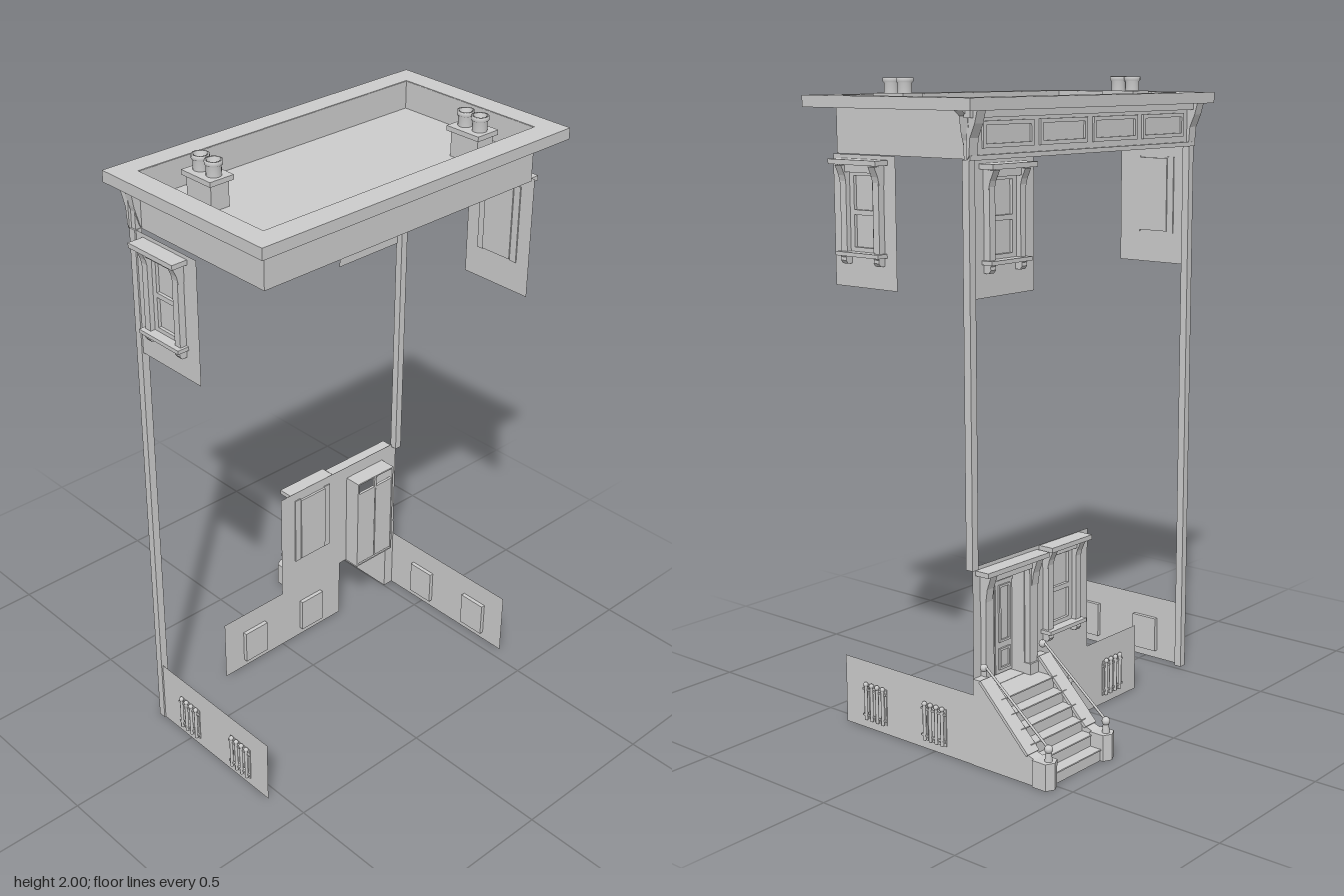
import * as THREE from 'three';

const stone = new THREE.MeshStandardMaterial({ color: 0xcccccc, side: THREE.DoubleSide });
stone.name = 'stone grey';

const WX = 0.54, BZ = -0.158; // side wall and street wall planes

function add(parent, geo, name) {
  const m = new THREE.Mesh(geo, stone);
  m.name = name;
  parent.add(m);
  return m;
}
// box given by its min and max corners
function box(parent, name, x0, x1, y0, y1, z0, z1) {
  const m = add(parent, new THREE.BoxGeometry(x1 - x0, y1 - y0, z1 - z0), name);
  m.position.set((x0 + x1) / 2, (y0 + y1) / 2, (z0 + z1) / 2);
  return m;
}
function rectPath(path, x0, x1, y0, y1) {
  return path.moveTo(x0, y0).lineTo(x1, y0).lineTo(x1, y1).lineTo(x0, y1).closePath();
}
function rectShape(x0, x1, y0, y1, holes = []) {
  const s = rectPath(new THREE.Shape(), x0, x1, y0, y1);
  holes.forEach(h => s.holes.push(rectPath(new THREE.Path(), ...h)));
  return s;
}
// rectangular frame with depth from z0 to z1
function frame(parent, name, outer, holes, z0, z1) {
  const m = add(parent, new THREE.ExtrudeGeometry(rectShape(...outer, holes), { depth: z1 - z0, bevelEnabled: false }), name);
  m.position.z = z0;
  return m;
}
// side profile of [outward, up] points, extruded along x from x0 to x1
function profile(parent, name, pts, x0, x1) {
  const s = new THREE.Shape(pts.map(p => new THREE.Vector2(p[0], p[1])));
  const g = new THREE.ExtrudeGeometry(s, { depth: x1 - x0, bevelEnabled: false });
  g.rotateY(-Math.PI / 2).translate(x1, 0, 0);
  return add(parent, g, name);
}

// tall sash window, outward +z, base at y = 0
function sashWindow(parent, x, y) {
  const w = new THREE.Group();
  w.name = 'sashWindow';
  w.position.set(x, y, 0);
  parent.add(w);
  frame(w, 'sash', [-0.055, 0.055, 0.035, 0.275], [[-0.038, 0.038, 0.05, 0.145], [-0.038, 0.038, 0.16, 0.26]], -0.008, 0.006);
  box(w, 'glass', -0.055, 0.055, 0.035, 0.275, -0.008, -0.004);
  for (const s of [-1, 1]) {
    box(w, 'jamb', s * 0.067 - 0.012, s * 0.067 + 0.012, 0.03, 0.28, -0.004, 0.022);
    profile(w, 'hoodBracket', [[0, 0.235], [0.02, 0.235], [0.026, 0.26], [0.04, 0.29], [0, 0.29]], s * 0.068 - 0.013, s * 0.068 + 0.013);
    profile(w, 'sillBracket', [[0, 0], [0.018, 0], [0.025, 0.01], [0.024, 0.02], [0.034, 0.032], [0, 0.032]], s * 0.068 - 0.011, s * 0.068 + 0.011);
  }
  box(w, 'lintel', -0.08, 0.08, 0.27, 0.295, 0, 0.026);
  box(w, 'sill', -0.088, 0.088, 0.025, 0.037, 0, 0.038);
  box(w, 'hood', -0.097, 0.097, 0.293, 0.308, 0, 0.052);
}

// low barred window
function basementWindow(parent, x) {
  const w = new THREE.Group();
  w.name = 'basementWindow';
  w.position.x = x;
  parent.add(w);
  frame(w, 'basementFrame', [-0.048, 0.048, 0.028, 0.146], [[-0.04, 0.04, 0.036, 0.138]], -0.014, 0.003);
  box(w, 'basementPane', -0.042, 0.042, 0.034, 0.14, -0.014, -0.01);
  for (const y of [0.045, 0.13]) box(w, 'grilleRail', -0.05, 0.05, y - 0.003, y + 0.003, 0.003, 0.009);
  for (let i = 0; i < 4; i++) {
    const bar = add(w, new THREE.CylinderGeometry(0.0055, 0.0055, 0.118, 8), 'grilleBar');
    bar.position.set(-0.036 + i * 0.024, 0.089, 0.008);
    add(w, new THREE.SphereGeometry(0.008, 8, 6), 'grilleFinial').position.set(-0.036 + i * 0.024, 0.146, 0.008);
  }
}

function wall(parent, name, x0, x1, y0, y1, holes) {
  add(parent, new THREE.ShapeGeometry(rectShape(x0, x1, y0, y1, holes)), name);
}
const sashHole = (x, y) => [x - 0.055, x + 0.055, y + 0.035, y + 0.275];
const cellarHole = x => [x - 0.042, x + 0.042, 0.034, 0.14];

// side walls: u runs along the wall, outward is local +z
function buildSide(root, s, topCentre) {
  const g = new THREE.Group();
  g.name = s > 0 ? 'leftWall' : 'rightWall';
  g.position.x = s * WX;
  g.rotation.y = s * Math.PI / 2;
  root.add(g);
  const u = z => -s * z;
  const span = (a, b) => [Math.min(u(a), u(b)), Math.max(u(a), u(b))];
  wall(g, 'basementWall', ...span(BZ, 0.38), 0, 0.22, [cellarHole(u(0)), cellarHole(u(0.25))]);
  basementWindow(g, u(0));
  basementWindow(g, u(0.25));
  const z0 = topCentre > 0.1 ? 0.125 : BZ, z1 = topCentre > 0.1 ? 0.38 : 0.125;
  wall(g, 'upperWall', ...span(z0, z1), 1.39, 1.78, [sashHole(u(topCentre), 1.46)]);
  sashWindow(g, u(topCentre), 1.46);
}

// street wall with the entrance; local x is mirrored model x
function buildStreet(root) {
  const g = new THREE.Group();
  g.name = 'streetWall';
  g.position.z = BZ;
  g.rotation.y = Math.PI;
  root.add(g);
  wall(g, 'basementWall', -0.255, 0.26, 0, 0.22, [cellarHole(0.13), cellarHole(-0.13)]);
  wall(g, 'basementPier', -WX, -0.52, 0, 0.22);
  wall(g, 'parlourWall', -WX, 0, 0.22, 0.61, [sashHole(-0.14, 0.3), [-0.468, -0.308, 0.221, 0.565]]);
  wall(g, 'upperWall', -WX, -0.26, 1.39, 1.78, [sashHole(-0.4, 1.46)]);
  basementWindow(g, 0.13);
  basementWindow(g, -0.13);
  sashWindow(g, -0.14, 0.3);
  sashWindow(g, -0.4, 1.46);

  // recessed double door with an open transom
  const d = new THREE.Group();
  d.name = 'entrance';
  d.position.x = -0.388;
  g.add(d);
  for (const s of [-1, 1]) {
    box(d, 'vestibuleSide', s * 0.082 - 0.003, s * 0.082 + 0.003, 0.22, 0.565, -0.058, 0);
    box(d, 'doorLeaf', s * 0.04 - 0.038, s * 0.04 + 0.038, 0.225, 0.515, -0.056, -0.048);
    for (const [y0, y1] of [[0.325, 0.505], [0.238, 0.305]])
      frame(d, 'doorPanel', [s * 0.04 - 0.025, s * 0.04 + 0.025, y0, y1], [[s * 0.04 - 0.018, s * 0.04 + 0.018, y0 + 0.007, y1 - 0.007]], -0.048, -0.042);
    box(d, 'doorPilaster', s * 0.1 - 0.018, s * 0.1 + 0.018, 0.22, 0.555, 0, 0.02);
    box(d, 'pilasterBase', s * 0.1 - 0.022, s * 0.1 + 0.022, 0.22, 0.255, 0, 0.026);
    profile(d, 'doorBracket', [[0, 0.5], [0.022, 0.5], [0.028, 0.54], [0.042, 0.58], [0, 0.58]], s * 0.105 - 0.015, s * 0.105 + 0.015);
  }
  box(d, 'transomMullion', -0.004, 0.004, 0.515, 0.565, -0.056, -0.048);
  box(d, 'transomRail', -0.08, 0.08, 0.512, 0.52, -0.056, -0.046);
  box(d, 'vestibuleCeiling', -0.085, 0.085, 0.56, 0.565, -0.058, 0);
  box(d, 'vestibuleFloor', -0.085, 0.085, 0.216, 0.221, -0.058, 0);
  box(d, 'doorLintel', -0.12, 0.12, 0.555, 0.585, 0, 0.024);
  box(d, 'doorHood', -0.14, 0.14, 0.583, 0.598, 0, 0.05);

  // stoop steps, outward distances from the wall
  const stoop = new THREE.Group();
  stoop.name = 'stoop';
  g.add(stoop);
  const rise = 0.22 / 6, run = 0.037, front = 0.27;
  for (let i = 0; i < 6; i++) {
    const z = front - i * run, y = (i + 1) * rise;
    box(stoop, 'riser', -0.515, -0.26, y - rise, y, z - 0.004, z);
    box(stoop, 'tread', -0.515, -0.26, y - 0.004, y, i === 5 ? 0 : z - run, z + 0.003);
  }
  for (const x of [-0.522, -0.252]) {
    profile(stoop, 'cheekWall', [[0, 0], [0.28, 0], [0.272, 0.06], [0.255, 0.075], [0.21, 0.09], [0.03, 0.27], [0, 0.27]], x - 0.02, x + 0.02);
    const cop = box(stoop, 'coping', x - 0.026, x + 0.026, -0.005, 0.005, -0.128, 0.128);
    cop.position.set(x, 0.18, 0.12);
    cop.rotation.x = Math.PI / 4;
    // newel with pointed plan, cap and ball
    const plan = new THREE.Shape([[-0.027, 0.23], [0.027, 0.23], [0.027, 0.28], [0, 0.294], [-0.027, 0.28]].map(p => new THREE.Vector2(p[0], -p[1])));
    const newel = add(stoop, new THREE.ExtrudeGeometry(plan, { depth: 0.082, bevelEnabled: false }).rotateX(-Math.PI / 2), 'newel');
    newel.position.x = x;
    add(stoop, new THREE.CylinderGeometry(0.008, 0.012, 0.035, 10), 'newelPost').position.set(x, 0.098, 0.27);
    add(stoop, new THREE.SphereGeometry(0.013, 12, 8), 'newelBall').position.set(x, 0.118, 0.27);
    const rail = new THREE.LineCurve3(new THREE.Vector3(x, 0.315, 0.025), new THREE.Vector3(x, 0.12, 0.27));
    add(stoop, new THREE.TubeGeometry(rail, 1, 0.004, 6), 'handrail');
    add(stoop, new THREE.SphereGeometry(0.012, 10, 8), 'railEnd').position.set(x, 0.305, 0.025);
  }

  // frieze with four panels and end brackets
  box(g, 'frieze', -0.54, 0.54, 1.78, 1.916, -0.018, 0);
  box(g, 'friezeMoulding', -0.545, 0.545, 1.778, 1.792, 0, 0.01);
  box(g, 'corniceBed', -0.56, 0.56, 1.895, 1.916, 0, 0.025);
  for (let i = 0; i < 4; i++) {
    const c = -0.375 + i * 0.25;
    frame(g, 'friezePanel', [c - 0.11, c + 0.11, 1.81, 1.885], [[c - 0.098, c + 0.098, 1.822, 1.873]], 0, 0.007);
  }
  for (const x of [-0.53, 0.53])
    profile(g, 'corniceBracket', [[0, 1.78], [0.008, 1.79], [0.012, 1.84], [0.03, 1.88], [0.04, 1.916], [0, 1.916]], x - 0.018, x + 0.018);
}

function buildRoof(root) {
  const g = new THREE.Group();
  g.name = 'roof';
  root.add(g);
  // flat overhanging cornice
  const ring = rectShape(-0.59, 0.59, -0.455, 0.21, [[-0.52, 0.52, -0.38, 0.14]]);
  const top = add(g, new THREE.ExtrudeGeometry(ring, { depth: 0.035, bevelEnabled: false }).rotateX(-Math.PI / 2), 'cornice');
  top.position.y = 1.915;
  // parapet shell around the sunken deck
  const loop = rectShape(-0.522, 0.522, -0.382, 0.142, [[-0.519, 0.519, -0.379, 0.139]]);
  add(g, new THREE.ExtrudeGeometry(loop, { depth: 0.168, bevelEnabled: false }).rotateX(-Math.PI / 2), 'parapet').position.y = 1.78;
  box(g, 'roofDeck', -0.52, 0.52, 1.857, 1.861, -0.14, 0.38);
  // side brackets near the street corners
  for (const s of [-1, 1]) {
    const pts = [[0.52, 1.78], [0.527, 1.79], [0.545, 1.85], [0.553, 1.9], [0.575, 1.916], [0.52, 1.916]];
    const sh = new THREE.Shape(pts.map(p => new THREE.Vector2(s * p[0], p[1])));
    add(g, new THREE.ExtrudeGeometry(sh, { depth: 0.03, bevelEnabled: false }), 'sideBracket').position.z = -0.165;
  }
  for (const [x, z] of [[-0.393, 0.003], [0.374, 0.271]]) {
    box(g, 'chimneyStack', x - 0.032, x + 0.032, 1.86, 1.94, z - 0.052, z + 0.052);
    box(g, 'chimneyCap', x - 0.042, x + 0.042, 1.94, 1.955, z - 0.062, z + 0.062);
    for (const dz of [-0.028, 0.028]) {
      const pts = [[0.022, 1.955], [0.022, 1.985], [0.026, 1.988], [0.026, 2], [0.019, 2], [0.015, 1.96], [0, 1.958]];
      add(g, new THREE.LatheGeometry(pts.map(p => new THREE.Vector2(...p)), 20), 'chimneyPot').position.set(x, 0, z + dz);
    }
  }
}

export function createModel() {
  const root = new THREE.Group();
  root.name = 'townhouse';
  buildSide(root, 1, 0.252);
  buildSide(root, -1, -0.012);
  buildStreet(root);
  buildRoof(root);
  // corner posts on the street side
  box(root, 'cornerPost', 0.52, 0.545, 0.6, 1.78, -0.163, -0.138);
  box(root, 'cornerPost', -0.545, -0.52, 0, 1.78, -0.163, -0.138);
  return root;
}
